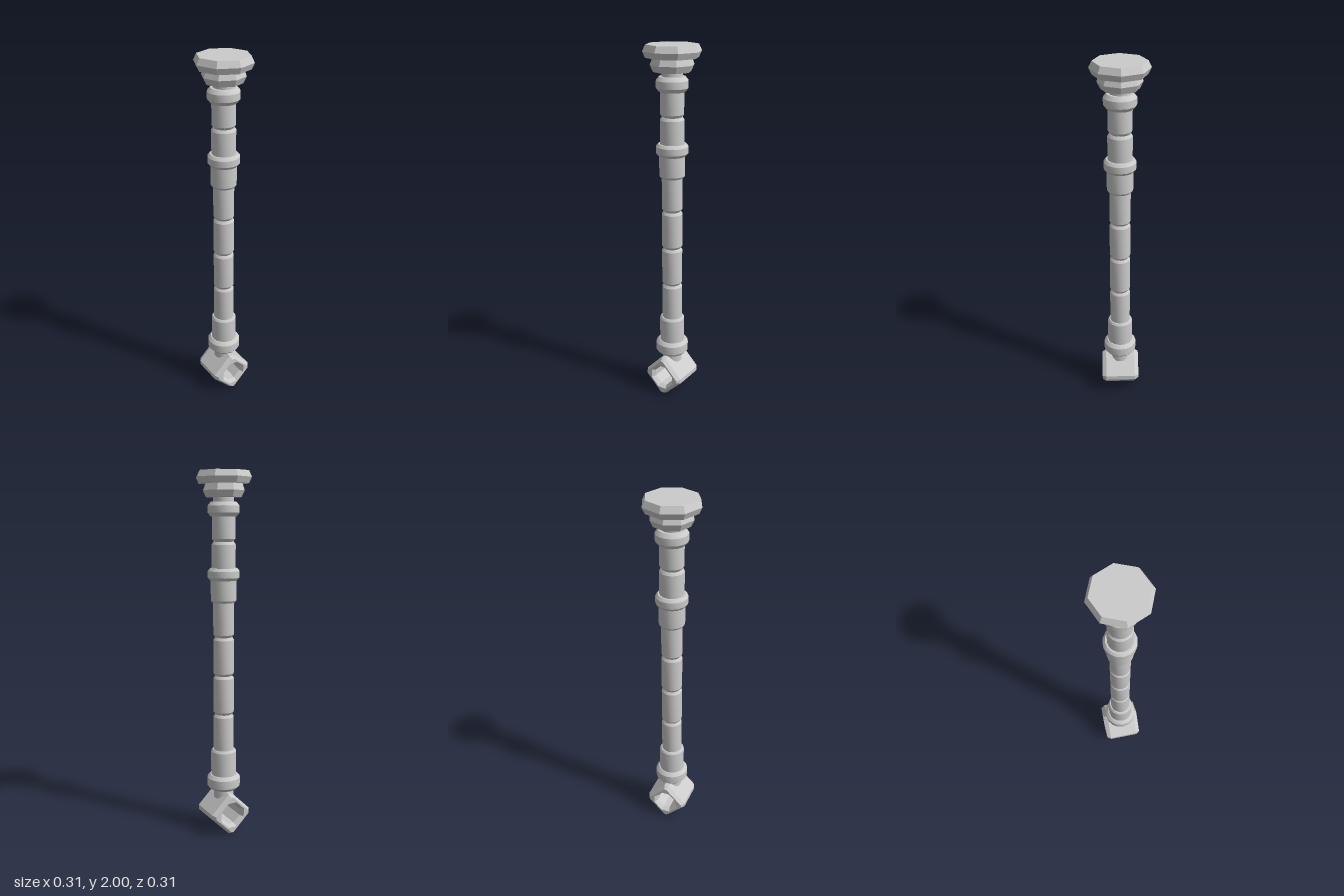
import * as THREE from 'three';
import { toCreasedNormals } from 'three/addons/utils/BufferGeometryUtils.js';

const material = new THREE.MeshStandardMaterial({ color: 0xcccccc });

function addMesh(group, name, geometry) {
  const mesh = new THREE.Mesh(toCreasedNormals(geometry, Math.PI / 6), material);
  mesh.name = name;
  group.add(mesh);
  return mesh;
}

// Closed turned part; profile is [radius, y] from bottom to top
function turned(group, name, profile, sides = 16) {
  const pts = [[0, profile[0][1]], ...profile, [0, profile[profile.length - 1][1]]];
  return addMesh(group, name, new THREE.LatheGeometry(pts.map(([r, y]) => new THREE.Vector2(r, y)), sides));
}

// Cylinder section with chamfered ends
function section(group, name, y0, y1, r, inset = 0.01, chamfer = 0.015) {
  return turned(group, name, [[r - inset, y0], [r, y0 + chamfer], [r, y1 - chamfer], [r - inset, y1]]);
}

// Diamond whose four points are cut off at the given distance
function cutDiamond(target, point, cut) {
  const d = point - cut;
  const corners = [[cut, -d], [cut, d], [d, cut], [-d, cut], [-cut, d], [-cut, -d], [-d, -cut], [d, -cut]];
  target.setFromPoints(corners.map(([x, y]) => new THREE.Vector2(x, y)));
  target.closePath();
  return target;
}

export function createModel() {
  const group = new THREE.Group();

  // Two-tier octagonal head
  turned(group, 'headCap', [[0.138, 1.935], [0.153, 1.967], [0.137, 2.0]], 8);
  turned(group, 'headBase', [[0.098, 1.865], [0.115, 1.9], [0.1, 1.94]], 8);
  turned(group, 'headNeck', [[0.055, 1.82], [0.055, 1.87]]);

  // Shaft segments separated by grooves
  const joints = [0.45, 0.685, 0.905, 1.12, 1.34];
  for (let i = 0; i < joints.length - 1; i++) {
    section(group, 'shaftSegment' + (i + 1), joints[i], joints[i + 1], 0.057);
  }
  section(group, 'upperShaftLow', 1.46, 1.635, 0.065);
  section(group, 'upperShaftHigh', 1.635, 1.8, 0.063);

  // Sleeves
  section(group, 'upperSleeve', 1.31, 1.46, 0.07, 0.008, 0.012);
  section(group, 'lowerSleeve', 0.29, 0.48, 0.071, 0.008, 0.012);

  // Collars
  section(group, 'topCollar', 1.765, 1.842, 0.085, 0.016, 0.02);
  section(group, 'middleCollar', 1.43, 1.495, 0.086, 0.012, 0.015);
  section(group, 'bottomCollar', 0.248, 0.332, 0.093, 0.016, 0.018);

  // Stub joining the shaft to the pommel
  turned(group, 'pommelNeck', [[0.057, 0.195], [0.057, 0.26]]);

  // Hollow diamond pommel, chamfered at both open ends
  const shape = cutDiamond(new THREE.Shape(), 0.13, 0.117);
  shape.holes.push(cutDiamond(new THREE.Path(), 0.077, 0.058));
  const bevel = 0.023, length = 0.216;
  const pommel = new THREE.ExtrudeGeometry(shape, {
    depth: length - 2 * bevel, bevelEnabled: true, bevelSegments: 1,
    bevelThickness: bevel, bevelSize: 0.014, bevelOffset: -0.014,
  });
  pommel.translate(0, 0, bevel - length / 2);
  addMesh(group, 'pommel', pommel).position.y = 0.117;

  return group;
}
